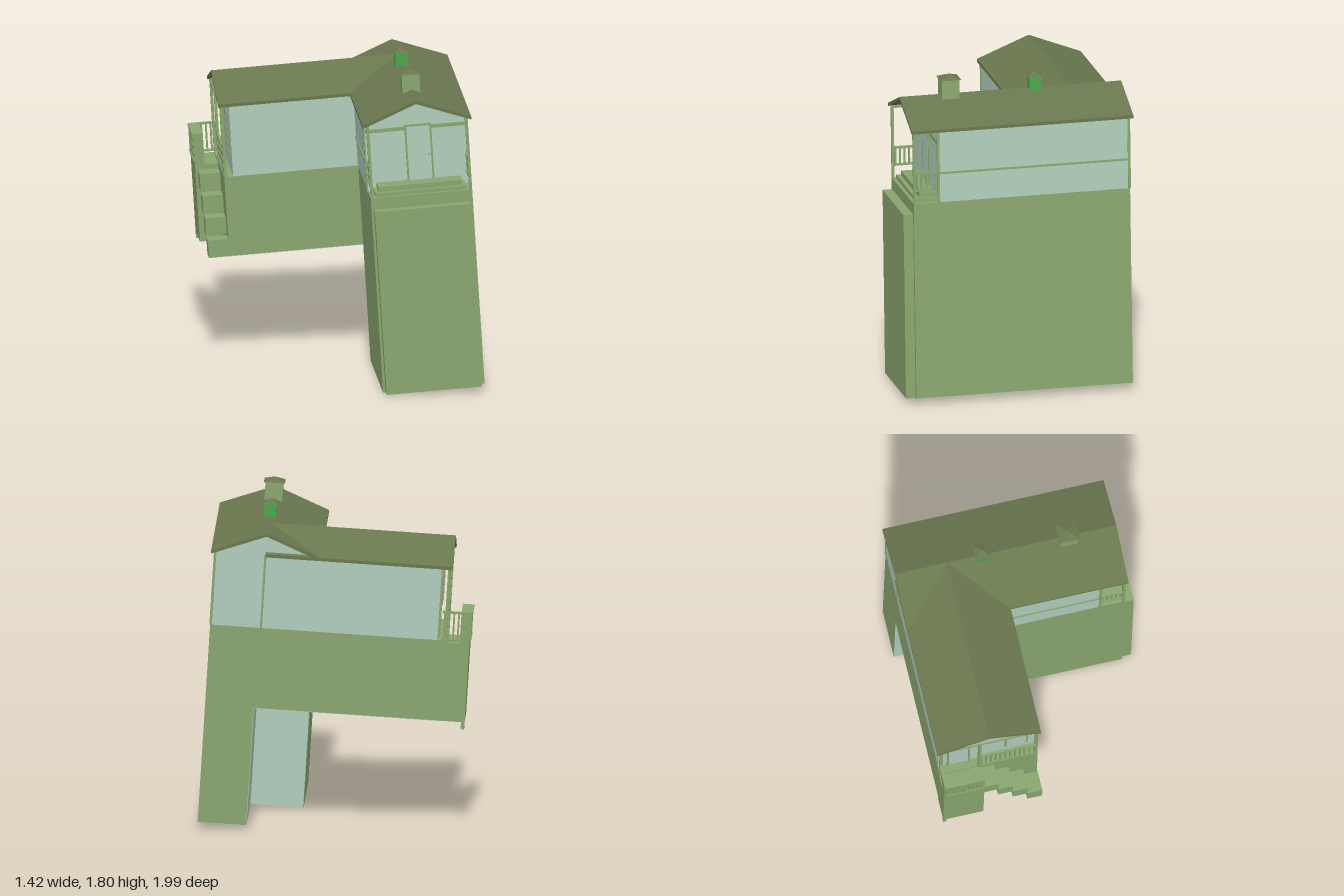
import * as THREE from 'three';

const mat = (color) => new THREE.MeshStandardMaterial({ color, flatShading: true });
const BODY = mat(0x8aa56f), WALL = mat(0xb0cdbb), ROOF = mat(0x69774f), GREEN = mat(0x4ca64c);

export function createModel() {
  const root = new THREE.Group();
  root.name = 'house';
  // house axes: x along the front wing, z out of its long front; the whole house leans slightly
  root.rotation.order = 'YXZ';
  root.rotation.set(-0.0616, 0.7466, 0);

  const add = (name, geo, material, x = 0, y = 0, z = 0) => {
    const m = new THREE.Mesh(geo, material);
    m.name = name;
    m.position.set(x, y, z);
    root.add(m);
    return m;
  };
  // box given by its limits on each axis
  const box = (name, material, x0, x1, y0, y1, z0, z1) =>
    add(name, new THREE.BoxGeometry(x1 - x0, y1 - y0, z1 - z0), material,
      (x0 + x1) / 2, (y0 + y1) / 2, (z0 + z1) / 2);
  const extrude = (points, depth) => new THREE.ExtrudeGeometry(
    new THREE.Shape(points.map(([x, y]) => new THREE.Vector2(x, y))),
    { depth, bevelEnabled: false });
  // five sided wall block with a gable at both ends
  const gableBlock = (half, base, eave, peak, depth) => extrude(
    [[-half, base], [half, base], [half, eave], [0, peak], [-half, eave]], depth);
  // roof with two slopes of even thickness
  const roofSlab = (half, eave, peak, t, depth) => extrude(
    [[-half, eave - t], [0, peak - t], [half, eave - t], [half, eave], [0, peak], [-half, eave]], depth);
  // railing along x or z
  const railing = (name, axis, a, b, fixed, y0, y1, n) => {
    const bar = (p, q, lo, hi, w) => axis === 'x'
      ? box(name, BODY, p, q, lo, hi, fixed - w, fixed + w)
      : box(name, BODY, fixed - w, fixed + w, lo, hi, p, q);
    bar(a, b, y1 - 0.012, y1, 0.008);
    bar(a, b, y0, y0 + 0.01, 0.008);
    for (let i = 0; i < n; i++) {
      const c = a + (b - a) * (i + 0.5) / n;
      bar(c - 0.005, c + 0.005, y0, y1, 0.005);
    }
  };

  const H0 = 0.004, FLOOR = 1.132, UNDER = 0.675;

  // lower storeys
  box('frontWingBase', BODY, -0.81, -0.15, H0, FLOOR, 0, 0.57);
  box('cornerBase', BODY, -0.15, 0.426, H0, FLOOR, 0.3, 0.57);
  box('backWingBase', BODY, -0.135, 0.426, UNDER, FLOOR, -0.75, 0.3);
  // pale surfaces around the open space beneath the back wing
  box('underpassBackWall', WALL, -0.15, 0.426, H0, UNDER, 0.297, 0.3);
  box('underpassSideWall', WALL, -0.15, -0.147, H0, UNDER, 0.003, 0.3);
  box('underside', WALL, -0.135, 0.426, UNDER - 0.003, UNDER, -0.75, 0.3);
  box('frontWingUnderside', WALL, -0.81, -0.15, H0 - 0.003, H0, 0, 0.57);
  box('cornerUnderside', WALL, -0.15, 0.426, H0 - 0.003, H0, 0.3, 0.57);

  // upper storeys with gables
  add('frontWingWalls', gableBlock(0.285, FLOOR, 1.545, 1.655, 1.096), WALL, -0.67, 0, 0.285)
    .rotation.y = Math.PI / 2;
  add('backWingWalls', gableBlock(0.278, FLOOR, 1.545, 1.655, 0.97), WALL, 0.148, 0, -0.7);

  // roofs
  add('frontWingRoof', roofSlab(0.305, 1.558, 1.676, 0.018, 1.266), ROOF, -0.82, 0, 0.285)
    .rotation.y = Math.PI / 2;
  add('backWingRoof', roofSlab(0.296, 1.558, 1.675, 0.018, 1.045), ROOF, 0.15, 0, -0.76);
  add('backGable', extrude([[-0.28, 1.54], [0.28, 1.54], [0, 1.655]], 0.045), WALL, 0.148, 0, -0.745);
  box('backGableBeam', BODY, -0.135, 0.43, 1.53, 1.545, -0.75, -0.735);

  // trim boards
  for (const z of [-0.003, 0.573]) {
    box('wallBand', BODY, -0.67, z < 0 ? -0.13 : 0.426, 1.295, 1.306, z - 0.003, z + 0.003);
    box('wallEndBoard', BODY, -0.675, -0.66, FLOOR, 1.545, z - 0.004, z + 0.004);
  }
  box('cornerBoard', BODY, 0.415, 0.43, FLOOR, 1.545, 0.56, 0.574);
  box('sideBoard', BODY, 0.424, 0.43, FLOOR, 1.55, 0.28, 0.292);

  // chimneys with pyramid caps
  const chimney = (name, material, x, w, top, cap, tip) => {
    box(name, material, x - w / 2, x + w / 2, 1.6, top, 0.285 - w / 2, 0.285 + w / 2);
    const geo = new THREE.ConeGeometry(cap / Math.SQRT2, tip - top, 4);
    geo.rotateY(Math.PI / 4);
    add(name + 'Cap', geo, ROOF, x, (top + tip) / 2, 0.285);
  };
  chimney('largeChimney', BODY, -0.538, 0.1, 1.765, 0.118, 1.79);
  chimney('smallChimney', GREEN, -0.05, 0.068, 1.745, 0.088, 1.772);

  // front porch: outer step, inner step, floor, posts, rails and door
  box('porchOuterStep', BODY, -0.865, -0.81, H0, 1.066, 0.014, 0.55);
  box('porchStep', BODY, -0.79, -0.67, FLOOR, 1.152, 0.03, 0.54);
  box('porchFloor', BODY, -0.765, -0.67, FLOOR, 1.18, 0.05, 0.52);
  for (const z of [0.008, 0.562]) {
    box('porchPost', BODY, -0.81, -0.795, FLOOR, 1.55, z - 0.008, z + 0.008);
    box('porchBeam', BODY, -0.81, -0.67, 1.535, 1.55, z - 0.006, z + 0.006);
    railing('porchRailing', 'x', -0.8, -0.67, z, 1.2, 1.31, 5);
  }
  box('porchWallBand', BODY, -0.676, -0.67, 1.47, 1.49, 0, 0.57);
  const doorX = -0.677;
  box('door', WALL, doorX, -0.67, 1.18, 1.49, 0.235, 0.365);
  for (const z of [0.23, 0.37]) box('doorFrame', BODY, doorX - 0.003, -0.67, 1.18, 1.5, z - 0.005, z + 0.005);
  box('doorFrame', BODY, doorX - 0.003, -0.67, 1.49, 1.5, 0.23, 0.37);
  box('doorKnob', BODY, doorX - 0.008, doorX, 1.32, 1.33, 0.35, 0.358);

  // back porch: landing with solid parapet, posts, rails
  box('landing', BODY, 0.2, 0.43, UNDER, 1.12, -0.88, -0.75);
  box('landingParapet', BODY, 0.2, 0.43, 1.12, 1.3, -0.88, -0.825);
  railing('landingRailing', 'x', 0.205, 0.425, -0.88, 1.14, 1.3, 9);
  railing('landingSideRailing', 'z', -0.825, -0.72, 0.422, 1.13, 1.3, 4);
  box('landingFoot', BODY, 0.41, 0.43, 0.635, UNDER, -0.88, -0.86);
  railing('backRailing', 'x', -0.13, 0.2, -0.742, 1.14, 1.3, 12);
  for (const x of [-0.125, 0.2, 0.42])
    box('backPost', BODY, x - 0.008, x + 0.008, FLOOR, 1.55, -0.75, -0.735);
  // back door and windows
  for (const [name, x0, x1, y0] of [['backDoor', 0.25, 0.37, FLOOR], ['backWindow', -0.08, 0.04, 1.25]]) {
    box(name, WALL, x0, x1, y0, 1.48, -0.705, -0.7);
    for (const x of [x0, x1]) box(name + 'Frame', BODY, x - 0.005, x + 0.005, y0, 1.485, -0.709, -0.7);
    box(name + 'Frame', BODY, x0, x1, 1.475, 1.485, -0.709, -0.7);
  }

  // outdoor stair down along the end wall
  for (let i = 0; i < 4; i++) {
    const x1 = 0.2 - i * 0.085, top = 1.09 - i * 0.105;
    box('stairStep', BODY, x1 - 0.085, x1, top - 0.1, top, -0.865, -0.75);
  }

  const model = new THREE.Group();
  model.name = 'cornerHouse';
  model.add(root);
  return model;
}
